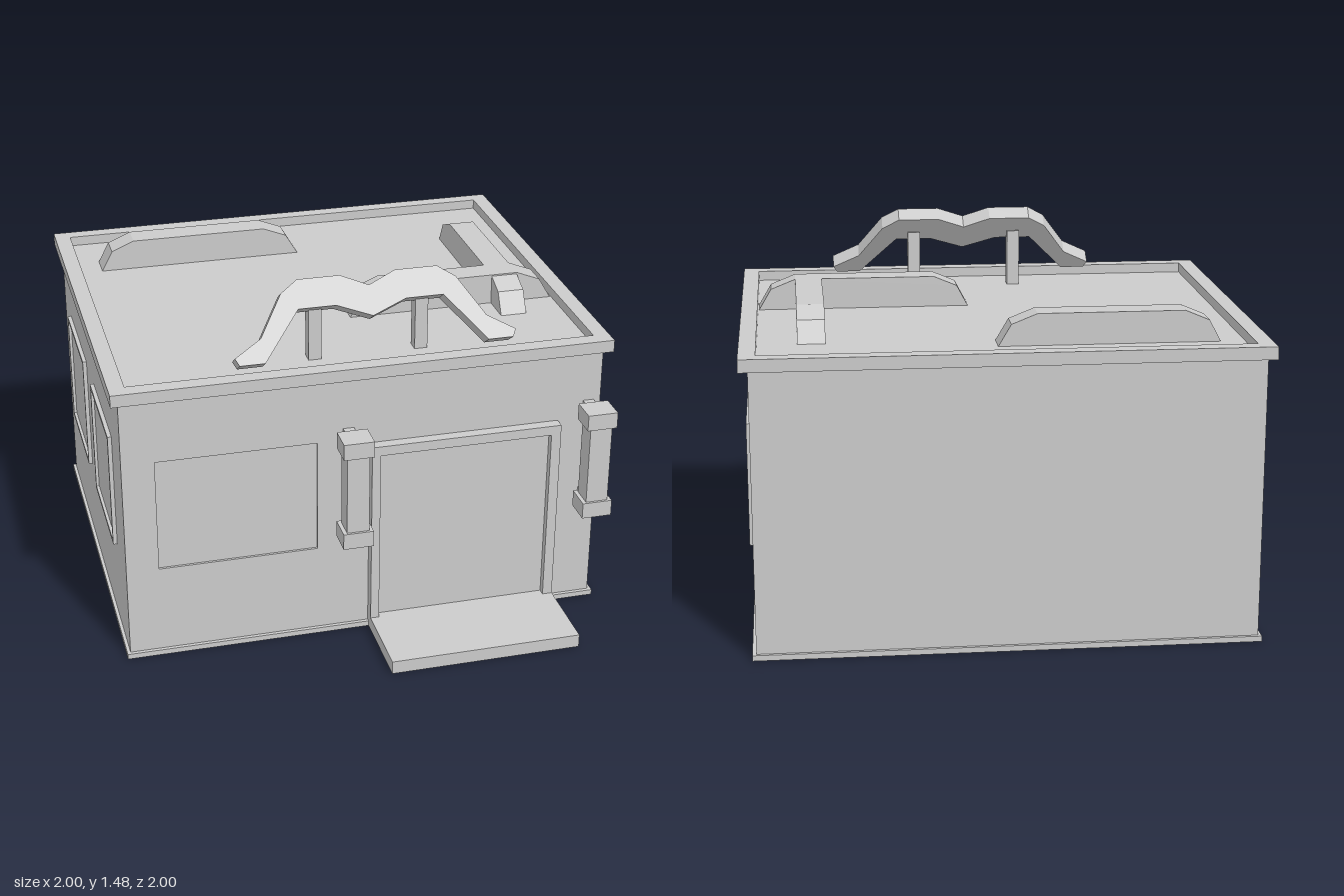
import * as THREE from 'three';

const material = new THREE.MeshStandardMaterial({ color: 0xcccccc, flatShading: true, side: THREE.DoubleSide });

function add(parent, name, geometry, x = 0, y = 0, z = 0) {
  const mesh = new THREE.Mesh(geometry, material);
  mesh.name = name;
  mesh.position.set(x, y, z);
  parent.add(mesh);
  return mesh;
}

// Box given by its limits on each axis
function box(parent, name, [x0, x1], [y0, y1], [z0, z1], dropFaces = []) {
  const g = new THREE.BoxGeometry(x1 - x0, y1 - y0, z1 - z0);
  // face order: +x, -x, +y, -y, +z, -z
  if (dropFaces.length) {
    const index = Array.from(g.index.array).filter((_, i) => !dropFaces.includes(Math.floor(i / 6)));
    g.setIndex(index);
    g.clearGroups();
  }
  return add(parent, name, g, (x0 + x1) / 2, (y0 + y1) / 2, (z0 + z1) / 2);
}

const polygon = (points) => new THREE.Shape(points.map(([x, y]) => new THREE.Vector2(x, y)));
const rect = (x0, x1, y0, y1) => polygon([[x0, y0], [x1, y0], [x1, y1], [x0, y1]]);
const extrude = (shape, depth) => new THREE.ExtrudeGeometry(shape, { depth, bevelEnabled: false });

function ring(outer, inner, depth) {
  const shape = rect(...outer);
  shape.holes.push(rect(...inner));
  return extrude(shape, depth);
}

export function createModel() {
  const model = new THREE.Group();
  model.name = 'shop';

  // Hollow walls, open underneath
  box(model, 'walls', [-0.97, 0.965], [0, 1.13], [-0.97, 0.63], [2, 3, 4]);
  const front = polygon([[-0.97, 0], [0.01, 0], [0.01, 0.84], [0.79, 0.84], [0.79, 0], [0.965, 0], [0.965, 1.13], [-0.97, 1.13]]);
  front.holes.push(rect(-0.84, -0.2, 0.39, 0.865));
  add(model, 'frontWall', new THREE.ShapeGeometry(front), 0, 0, 0.63);

  // Shallow recessed front window
  box(model, 'frontWindow', [-0.84, -0.2], [0.39, 0.865], [0.62, 0.63], [4]);

  // Door, its frame and the step
  const frame = polygon([[0.01, 0], [0.045, 0], [0.045, 0.8], [0.75, 0.8], [0.75, 0], [0.79, 0], [0.79, 0.84], [0.01, 0.84]]);
  add(model, 'doorFrame', extrude(frame, 0.045), 0, 0, 0.63);
  add(model, 'door', new THREE.PlaneGeometry(0.705, 0.8), 0.3975, 0.4, 0.645);
  box(model, 'step', [0.01, 0.79], [0, 0.055], [0.645, 1], [3]);

  // Skirting, broken at the door
  const skirt = [0, 0.022];
  box(model, 'skirtingBack', [-0.983, 0.98], skirt, [-0.983, -0.97]);
  box(model, 'skirtingRight', [-0.983, -0.97], skirt, [-0.97, 0.645]);
  box(model, 'skirtingLeft', [0.965, 0.98], skirt, [-0.97, 0.645]);
  box(model, 'skirtingFrontRight', [-0.97, 0.01], skirt, [0.63, 0.645]);
  box(model, 'skirtingFrontLeft', [0.79, 0.965], skirt, [0.63, 0.645]);

  // Two framed windows on each side wall
  for (const side of [-1, 1]) {
    const wallX = side > 0 ? 0.965 : -0.97;
    for (const z of [0.16, -0.535]) {
      const win = new THREE.Group();
      win.name = 'sideWindow';
      add(win, 'windowFrame', ring([-0.24, 0.24, 0.39, 0.875], [-0.225, 0.225, 0.405, 0.86], 0.016));
      add(win, 'windowPane', new THREE.PlaneGeometry(0.45, 0.455), 0, 0.6325, 0.004);
      win.position.set(wallX, 0, z);
      win.rotation.y = side * Math.PI / 2;
      model.add(win);
    }
  }

  // Roof rim around a sunken deck
  const rim = add(model, 'roofRim', ring([-1, 1, -0.655, 1], [-0.935, 0.935, -0.59, 0.94], 0.05), 0, 1.13, 0);
  rim.rotation.x = -Math.PI / 2;
  const deck = add(model, 'roofDeck', new THREE.PlaneGeometry(1.87, 1.53), 0, 1.14, -0.175);
  deck.rotation.x = -Math.PI / 2;

  // Square wall lamps with two brackets each
  for (const x of [-0.075, 0.915]) {
    const lamp = new THREE.Group();
    lamp.name = 'wallLamp';
    box(lamp, 'lampBody', [-0.045, 0.045], [0.535, 0.865], [0.695, 0.785]);
    for (const y of [0.47, 0.865]) box(lamp, 'lampCap', [-0.061, 0.061], [y, y + 0.067], [0.683, 0.795]);
    for (const y of [0.485, 0.88]) box(lamp, 'lampBracket', [-0.022, 0.022], [y, y + 0.036], [0.625, 0.684]);
    lamp.position.x = x;
    model.add(lamp);
  }

  // Low bars with sloped ends lying on the roof
  const barProfile = polygon([[-0.84, 1.14], [-0.795, 1.225], [-0.7, 1.265], [-0.13, 1.265], [-0.03, 1.225], [0.02, 1.14]]);
  const barGeometry = extrude(barProfile, 0.108);
  add(model, 'roofBarBack', barGeometry, 0, 0, -0.73);
  add(model, 'roofBarMiddle', barGeometry, 0.91, 0, -0.003);
  add(model, 'roofBarCross', barGeometry, 0.78, 0, 0.22).rotation.y = -Math.PI / 2;

  // Leaning moustache-shaped sign, drawn as a half and mirrored
  const half = [[0.11, 1.475], [0.28, 1.475], [0.35, 1.435], [0.45, 1.3], [0.56, 1.245],
    [0.545, 1.22], [0.445, 1.22], [0.29, 1.38], [0.14, 1.38]];
  const tilt = 0.61;
  const outline = [[0, 1.435], ...half, [0, 1.335], ...half.map(([x, y]) => [-x, y]).reverse()]
    .map(([x, y]) => [x, (y - 1.22) / Math.cos(tilt)]);
  const signGeometry = extrude(polygon(outline), 0.068).translate(0, 0, -0.068);
  add(model, 'roofSign', signGeometry, 0.05, 1.22, 0.605).rotation.x = -tilt;
  for (const x of [-0.165, 0.265]) {
    box(model, 'signPost', [x - 0.026, x + 0.026], [1.14, 1.375], [0.402, 0.455]);
  }

  return model;
}
